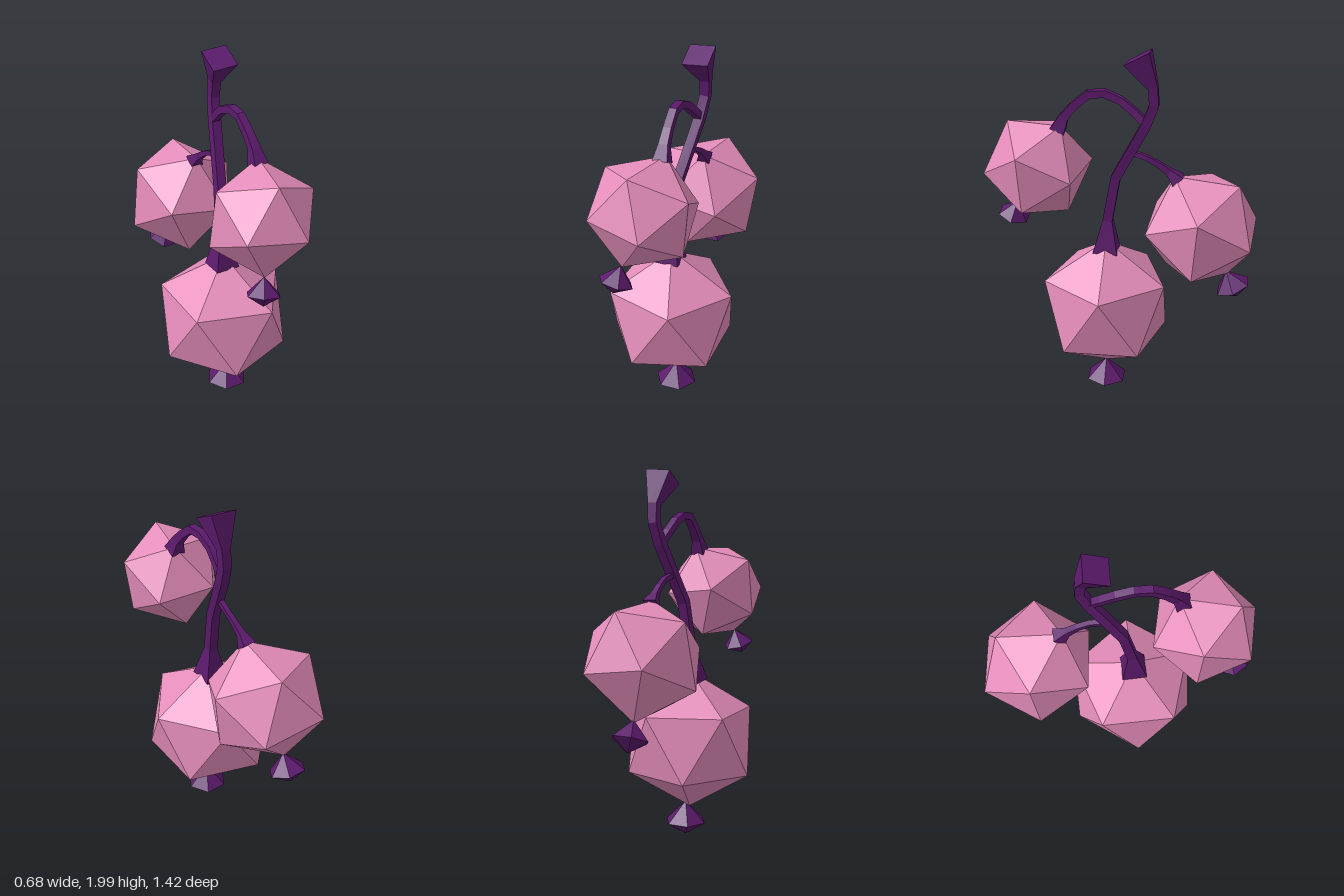
import * as THREE from 'three';

const pink = new THREE.MeshStandardMaterial({ color: 0xe58dbb, flatShading: true });
const purple = new THREE.MeshStandardMaterial({ color: 0x5c1a6c, flatShading: true });
const vec = (p) => new THREE.Vector3(...p);

function addMesh(parent, name, geometry, material) {
  const mesh = new THREE.Mesh(geometry, material);
  mesh.name = name;
  parent.add(mesh);
  return mesh;
}

// Rotation frame whose first axis is a, with b in the plane of the first two.
function frame(a, b) {
  const x = a.clone().normalize();
  const z = x.clone().cross(b).normalize();
  return new THREE.Matrix4().makeBasis(x, z.clone().cross(x), z);
}

// Icosahedron turned so two neighbouring corners point along a and b.
function berryGeometry(radius, a, b) {
  const t = (1 + Math.sqrt(5)) / 2;
  const source = frame(vec([-1, t, 0]), vec([1, t, 0])).transpose();
  return new THREE.IcosahedronGeometry(radius, 0).applyMatrix4(frame(vec(a), vec(b)).multiply(source));
}

// Square-section sweep through [x, y, z, halfWidth] sections.
function sweep(sections) {
  const points = sections.map((s) => vec(s.slice(0, 3)));
  const positions = [], index = [], last = points.length - 1;
  points.forEach((p, i) => {
    const tangent = points[Math.min(i + 1, last)].clone().sub(points[Math.max(i - 1, 0)]).normalize();
    const side = new THREE.Vector3(1, 0, 0).addScaledVector(tangent, -tangent.x).normalize();
    const up = tangent.clone().cross(side);
    const w = sections[i][3];
    for (const [u, v] of [[1, 1], [-1, 1], [-1, -1], [1, -1]]) {
      positions.push(...p.clone().addScaledVector(side, u * w).addScaledVector(up, v * w).toArray());
    }
    if (i === last) return;
    for (let k = 0; k < 4; k++) {
      const a = i * 4 + k, b = i * 4 + (k + 1) % 4;
      index.push(a, b, b + 4, a, b + 4, a + 4);
    }
  });
  const e = last * 4;
  index.push(0, 2, 1, 0, 3, 2, e, e + 1, e + 2, e, e + 2, e + 3);
  const geometry = new THREE.BufferGeometry();
  geometry.setAttribute('position', new THREE.Float32BufferAttribute(positions, 3));
  geometry.setIndex(index);
  geometry.computeVertexNormals();
  return geometry;
}

export function createModel() {
  const group = new THREE.Group();
  group.name = 'berryCluster';

  // Berries, each with a small faceted bud at its lower corner
  const berries = [
    { name: 'lower', center: [0, 0.555, 0.085], radius: 0.38, a: [0, 1, 0], b: [0.894, 0.447, 0],
      bud: [0.025, 0.2, 0.085], dir: [0, -1, 0], size: 1 },
    { name: 'front', center: [0, 1.351, 0.437], radius: 0.286, a: [-0.012, 0.242, 0.157], b: [0.245, 0.127, 0.066],
      bud: [-0.065, 1.115, 0.575], dir: [-0.03, -0.15, 0.045], size: 0.78 },
    { name: 'back', center: [0.02, 1.057, -0.424], radius: 0.32, a: [0.053, 0.254, -0.186], b: [0.291, 0.133, 0.013],
      bud: [0, 0.79, -0.565], dir: [0, -0.16, -0.07], size: 0.87 },
  ];
  const budProfile = [[0, -0.19], [0.115, -0.115], [0, 0]].map((p) => new THREE.Vector2(...p));
  for (const berry of berries) {
    addMesh(group, berry.name + 'Berry', berryGeometry(berry.radius, berry.a, berry.b), pink)
      .position.set(...berry.center);
    const bud = addMesh(group, berry.name + 'Bud', new THREE.LatheGeometry(budProfile, 6, Math.PI / 2), purple);
    bud.position.set(...berry.bud);
    bud.scale.setScalar(berry.size);
    bud.quaternion.setFromUnitVectors(new THREE.Vector3(0, -1, 0), vec(berry.dir).normalize());
  }

  // Main stem, flared at the berry and at the cut end
  addMesh(group, 'mainStem', sweep([
    [-0.008, 0.88, 0.085, 0.066], [-0.005, 1.06, 0.075, 0.026], [0.01, 1.31, 0.03, 0.025],
    [0.07, 1.62, -0.13, 0.025], [0.085, 1.73, -0.17, 0.024], [0.088, 1.82, -0.163, 0.025],
    [0.075, 1.963, -0.088, 0.068],
  ]), purple);

  // Arched branch to the front berry
  addMesh(group, 'frontBranch', sweep([
    [0.07, 1.62, -0.135, 0.019], [0.055, 1.68, -0.07, 0.019], [0.045, 1.735, 0, 0.019],
    [0.042, 1.767, 0.08, 0.019], [0.042, 1.762, 0.16, 0.02], [0.044, 1.70, 0.235, 0.021],
    [0.046, 1.64, 0.287, 0.024], [0.048, 1.57, 0.32, 0.038],
  ]), purple);

  // Drooping branch to the back berry
  addMesh(group, 'backBranch', sweep([
    [0.035, 1.455, -0.065, 0.013], [0.045, 1.44, -0.13, 0.013], [0.045, 1.405, -0.195, 0.014],
    [0.042, 1.365, -0.25, 0.018], [0.04, 1.32, -0.295, 0.036],
  ]), purple);

  return group;
}
